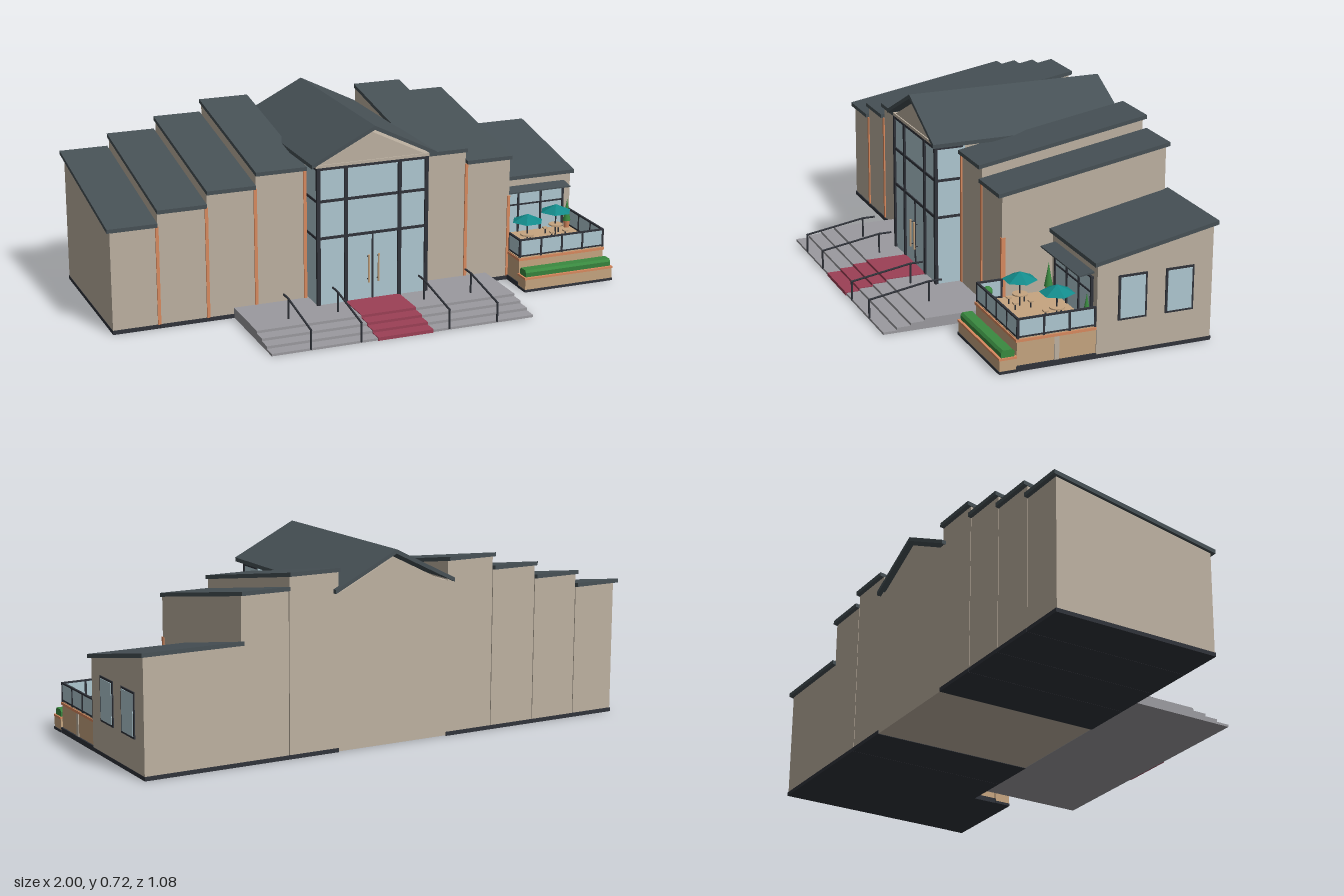
import * as THREE from 'three';

const mat = (name, color, double = false) => {
  const m = new THREE.MeshStandardMaterial({ color });
  m.name = name;
  if (double) m.side = THREE.DoubleSide;
  return m;
};

export function createModel() {
  const root = new THREE.Group();
  root.name = 'civicHall';
  const wall = mat('stoneWall', 0xbdb1a1, true);
  const roof = mat('slateRoof', 0x475156);
  const glass = mat('paleGlass', 0xafc8d1);
  const dark = mat('darkMetal', 0x30333a);
  const orange = mat('terracotta', 0xd98a5f);
  const sand = mat('sandStone', 0xc6a580);
  const grey = mat('stepGrey', 0x9b9a9f);
  const red = mat('carpetRed', 0x9c4056);
  const teal = mat('parasolTeal', 0x138b8b);
  const green = mat('leafGreen', 0x3a8a40);

  const group = (name, parent = root) => {
    const g = new THREE.Group();
    g.name = name;
    parent.add(g);
    return g;
  };
  const add = (parent, name, geo, material) => {
    const m = new THREE.Mesh(geo, material);
    m.name = name;
    parent.add(m);
    return m;
  };
  // Box given by its limits on each axis
  const box = (p, name, m, x0, x1, y0, y1, z0, z1) => {
    const g = new THREE.BoxGeometry(x1 - x0, y1 - y0, z1 - z0);
    g.translate((x0 + x1) / 2, (y0 + y1) / 2, (z0 + z1) / 2);
    return add(p, name, g, m);
  };
  // Round bar between two points
  const rod = (p, name, m, a, b, r) => {
    const va = new THREE.Vector3(...a), vb = new THREE.Vector3(...b);
    const o = add(p, name, new THREE.CylinderGeometry(r, r, va.distanceTo(vb), 8), m);
    o.position.copy(va).lerp(vb, 0.5);
    o.quaternion.setFromUnitVectors(new THREE.Vector3(0, 1, 0), vb.sub(va).normalize());
    return o;
  };
  // Side profile of [z, y] points, extruded from x0 to x1
  const sideProfile = (p, name, m, pts, x0, x1) => {
    const s = new THREE.Shape(pts.map(q => new THREE.Vector2(...q)));
    const g = new THREE.ExtrudeGeometry(s, { depth: x1 - x0, bevelEnabled: false });
    g.rotateY(-Math.PI / 2).translate(x1, 0, 0);
    return add(p, name, g, m);
  };
  // Front profile of [x, y] points, extruded from z0 to z1
  const frontProfile = (p, name, m, pts, z0, z1) => {
    const s = new THREE.Shape(pts.map(q => new THREE.Vector2(...q)));
    const g = new THREE.ExtrudeGeometry(s, { depth: z1 - z0, bevelEnabled: false });
    return add(p, name, g.translate(0, 0, z0), m);
  };

  // Block with a roof rising to the back
  const shedBlock = (name, x0, x1, wx0, wx1, zf, yf, yb) => {
    const g = group(name), zr = zf + 0.013, zb = -0.54, t = 0.015;
    const under = z => yf - t + (yb - yf) * (zr - z) / (zr - zb);
    sideProfile(g, 'walls', wall,
      [[-0.525, 0.01], [zf, 0.01], [zf, under(zf)], [-0.525, under(-0.525)]], wx0, wx1);
    sideProfile(g, 'roofSlab', roof, [[zb, yb - t], [zr, yf - t], [zr, yf], [zb, yb]], x0, x1);
    box(g, 'plinth', dark, wx0 - 0.001, wx1 + 0.001, 0, 0.015, -0.528, zf + 0.004);
    return g;
  };

  // Stepped wings, lower towards the ends
  const edges = [0.23, 0.43, 0.62, 0.81, 1];
  for (const s of [-1, 1]) {
    for (let i = 0; i < (s < 0 ? 4 : 2); i++) {
      const a = edges[i], b = edges[i + 1], bw = i === 3 ? 0.987 : b - 0.003;
      const yf = 0.56 - 0.05 * i;
      const [x0, x1, w0, w1] = s < 0 ? [-b, -a, -bw, -a] : [a, b, a, bw];
      const g = shedBlock('wing' + (s < 0 ? 'Right' : 'Left') + (i + 1), x0, x1, w0, w1, 0.118, yf, yf + 0.115);
      // Terracotta strip at the inner edge
      const c = s * (a + (i ? 0 : 0.004));
      box(g, 'cornerStrip', orange, c - 0.006, c + 0.006, 0.015, yf - 0.015, 0.11, 0.123);
    }
  }
  box(root, 'cornerStrip', orange, 0.608, 0.62, 0.015, 0.345, 0.105, 0.122);

  // Central hall
  const hall = group('hall');
  box(hall, 'floor', wall, -0.23, 0.23, 0.002, 0.04, -0.525, 0.12);
  box(hall, 'backWall', wall, -0.23, 0.23, 0.002, 0.585, -0.525, -0.51);
  box(hall, 'frontBeam', wall, -0.228, 0.228, 0.577, 0.588, -0.525, 0.22);
  frontProfile(hall, 'gable', wall, [[-0.215, 0.585], [0.215, 0.585], [0, 0.692]], -0.525, 0.215);
  frontProfile(hall, 'gableRoof', roof,
    [[-0.25, 0.582], [0, 0.706], [0.25, 0.582], [0.25, 0.597], [0, 0.722], [-0.25, 0.597]], -0.543, 0.237);

  // Glazed entrance
  const front = group('glazedEntrance');
  box(front, 'glassBox', glass, -0.222, 0.222, 0.04, 0.576, 0.1, 0.215);
  for (const x of [-0.218, -0.108, 0.108, 0.218])
    box(front, 'mullion', dark, x - 0.007, x + 0.007, 0.04, 0.577, 0.21, 0.222);
  for (const y of [0.303, 0.447, 0.572])
    box(front, 'transom', dark, -0.225, 0.225, y - 0.005, y + 0.005, 0.11, 0.22);
  box(front, 'doorGap', dark, -0.003, 0.003, 0.04, 0.3, 0.21, 0.219);
  for (const x of [-0.02, 0.02]) {
    rod(front, 'doorHandle', sand, [x, 0.11, 0.229], [x, 0.22, 0.229], 0.004);
    for (const y of [0.12, 0.21]) rod(front, 'handleMount', dark, [x, y, 0.214], [x, y, 0.229], 0.002);
  }

  // Front steps with carpet and handrails
  const stairs = group('frontSteps');
  const stepZ = [0.535, 0.483, 0.43, 0.375];
  sideProfile(stairs, 'steps', grey, [[0.12, 0.001], [0.535, 0.001],
    ...stepZ.flatMap((z, i) => [[z, 0.01 * (i + 1)], [stepZ[i + 1] ?? 0.12, 0.01 * (i + 1)]])], -0.52, 0.52);
  stepZ.forEach((z, i) => {
    const y = 0.01 * (i + 1);
    box(stairs, 'carpetTread', red, -0.11, 0.11, y, y + 0.003, stepZ[i + 1] ?? 0.217, z + 0.003);
    box(stairs, 'carpetRiser', red, -0.11, 0.11, y - 0.01, y, z, z + 0.003);
  });
  for (const x of [-0.37, -0.175, 0.175, 0.37]) {
    const rail = group('handrail', stairs);
    rod(rail, 'lowerPost', dark, [x, 0.005, 0.535], [x, 0.08, 0.535], 0.004);
    rod(rail, 'upperPost', dark, [x, 0.04, 0.303], [x, 0.118, 0.303], 0.004);
    rod(rail, 'slopedRail', dark, [x, 0.079, 0.538], [x, 0.118, 0.303], 0.004);
    rod(rail, 'flatRail', dark, [x, 0.118, 0.303], [x, 0.118, 0.253], 0.004);
  }

  // Cafe block on the left end
  const cafe = shedBlock('cafe', 0.612, 1, 0.617, 0.99, -0.08, 0.357, 0.45);
  for (const z of [-0.215, -0.397]) {
    box(cafe, 'sideWindowFrame', dark, 0.985, 0.994, 0.13, 0.297, z - 0.055, z + 0.055);
    box(cafe, 'sideWindowGlass', glass, 0.985, 0.996, 0.138, 0.289, z - 0.047, z + 0.047);
  }
  box(cafe, 'frontWindow', glass, 0.655, 0.955, 0.12, 0.29, -0.085, -0.075);
  for (const x of [0.655, 0.755, 0.855, 0.955])
    box(cafe, 'windowMullion', dark, x - 0.004, x + 0.004, 0.12, 0.29, -0.08, -0.07);
  for (const y of [0.235, 0.29])
    box(cafe, 'windowTransom', dark, 0.651, 0.959, y - 0.003, y + 0.003, -0.08, -0.071);
  sideProfile(cafe, 'awning', roof, [[-0.08, 0.306], [-0.022, 0.299], [-0.022, 0.304], [-0.08, 0.313]], 0.64, 0.962);

  // Raised terrace
  const terrace = group('terrace');
  box(terrace, 'terracePlinth', dark, 0.613, 0.992, 0, 0.02, -0.08, 0.222);
  box(terrace, 'terraceBase', sand, 0.617, 0.986, 0.02, 0.12, -0.08, 0.218);
  box(terrace, 'terraceTrim', orange, 0.614, 0.99, 0.107, 0.117, -0.08, 0.222);
  box(terrace, 'basePier', wall, 0.98, 0.989, 0.02, 0.107, 0.06, 0.078);
  // Glass balustrade
  const balustrade = (x0, z0, x1, z1, n) => {
    const g = group('balustrade', terrace), y0 = 0.125, y1 = 0.19;
    box(g, 'panel', glass, x0 - 0.002, x1 + 0.002, y0 + 0.003, y1, z0 - 0.002, z1 + 0.002);
    for (const y of [y0, y1])
      box(g, 'rail', dark, x0 - 0.004, x1 + 0.004, y - 0.003, y + 0.003, z0 - 0.004, z1 + 0.004);
    for (let i = 0; i <= n; i++) {
      const x = x0 + (x1 - x0) * i / n, z = z0 + (z1 - z0) * i / n;
      box(g, 'post', dark, x - 0.004, x + 0.004, 0.118, y1, z - 0.004, z + 0.004);
    }
  };
  balustrade(0.622, 0.214, 0.984, 0.214, 4);
  balustrade(0.984, -0.075, 0.984, 0.214, 3);
  balustrade(0.622, 0.122, 0.622, 0.214, 1);

  // Planter and hedge
  box(terrace, 'planterFoot', dark, 0.611, 0.994, 0, 0.01, 0.22, 0.286);
  box(terrace, 'planter', sand, 0.613, 0.992, 0.01, 0.052, 0.22, 0.284);
  box(terrace, 'planterTrim', orange, 0.611, 0.994, 0.05, 0.058, 0.22, 0.286);
  const hedge = new THREE.Shape([[0.228, 0.058], [0.276, 0.058], [0.278, 0.076], [0.27, 0.085],
    [0.234, 0.085], [0.226, 0.076]].map(q => new THREE.Vector2(...q)));
  const hedgeGeo = new THREE.ExtrudeGeometry(hedge, { depth: 0.37, bevelEnabled: false });
  add(terrace, 'hedge', hedgeGeo.rotateY(-Math.PI / 2).translate(0.988, 0, 0), green);

  // Tables with hexagonal parasols and stools
  for (const [x, z] of [[0.715, 0.09], [0.877, 0.02]]) {
    const set = group('tableSet', terrace);
    set.position.set(x, 0.12, z);
    rod(set, 'pole', dark, [0, 0, 0], [0, 0.125, 0], 0.003);
    const top = add(set, 'tableTop', new THREE.CylinderGeometry(0.028, 0.028, 0.005, 12), sand);
    top.position.y = 0.045;
    const cone = new THREE.CylinderGeometry(0.003, 0.064, 0.028, 6).toNonIndexed();
    cone.computeVertexNormals();
    const shade = add(set, 'parasol', cone, teal);
    shade.position.y = 0.114;
    shade.rotation.y = Math.PI / 6;
    for (let i = 0; i < 4; i++) {
      const a = Math.PI * (i / 2 + 0.25), cx = Math.cos(a) * 0.042, cz = Math.sin(a) * 0.042;
      box(set, 'stoolSeat', sand, cx - 0.009, cx + 0.009, 0.022, 0.027, cz - 0.009, cz + 0.009);
      rod(set, 'stoolLeg', dark, [cx, 0, cz], [cx, 0.022, cz], 0.003);
    }
  }

  // Potted shrubs in the corners
  for (const x of [0.646, 0.966]) {
    for (const z of [-0.052, 0.185]) {
      const pot = add(terrace, 'pot', new THREE.CylinderGeometry(0.014, 0.011, 0.03, 10), orange);
      pot.position.set(x, 0.135, z);
      const leaves = z < 0 ? new THREE.ConeGeometry(0.016, 0.09, 10) : new THREE.IcosahedronGeometry(0.019, 1);
      add(terrace, z < 0 ? 'conifer' : 'bush', leaves, green).position.set(x, z < 0 ? 0.194 : 0.163, z);
    }
  }
  return root;
}
